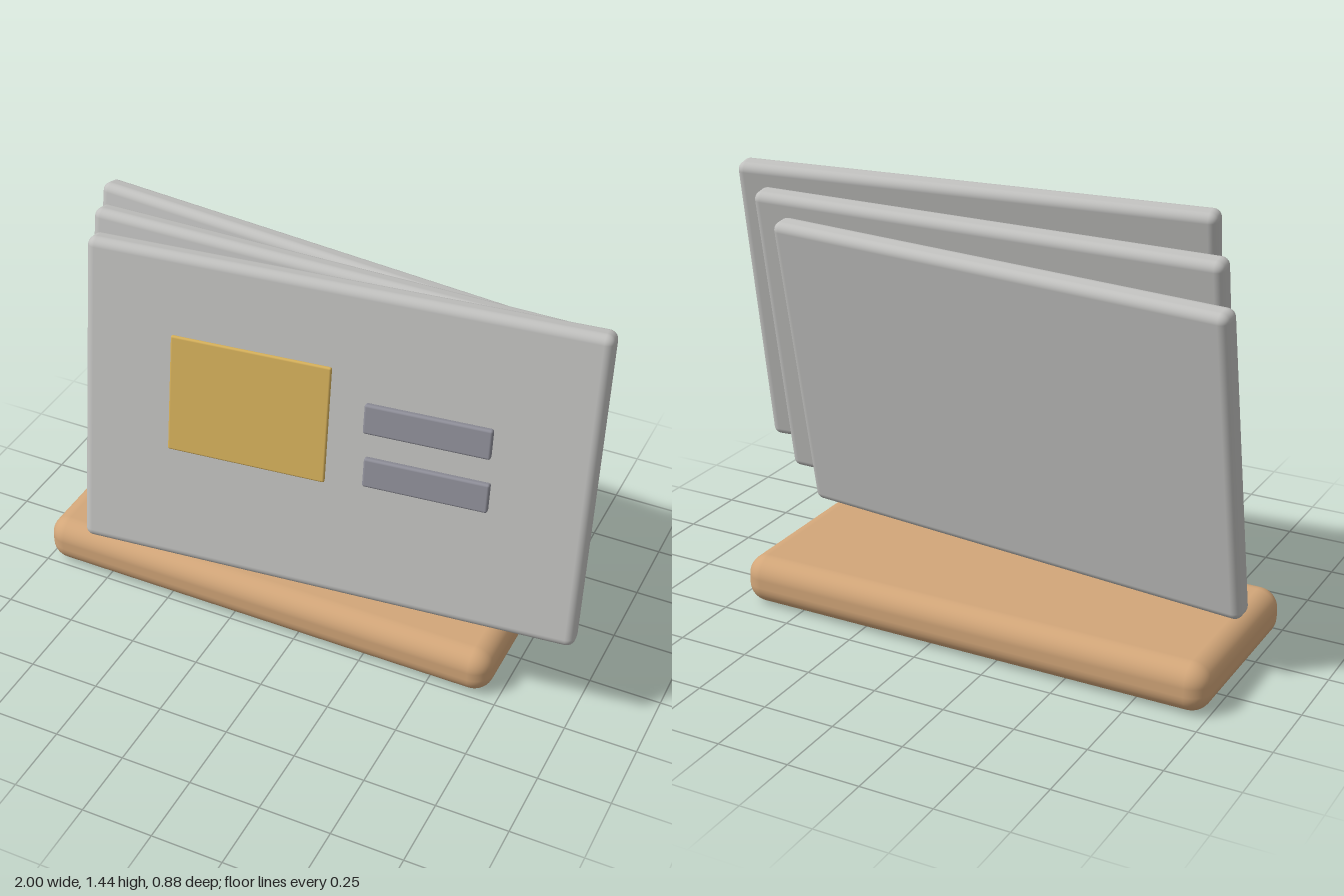
import * as THREE from 'three';
import { RoundedBoxGeometry } from 'three/addons/geometries/RoundedBoxGeometry.js';

const TILT = -0.175; // lean backwards
const YAW = 0.105; // fan angle between cards

function material(name, color) {
  const m = new THREE.MeshStandardMaterial({ color });
  m.name = name;
  return m;
}

export function createModel() {
  const model = new THREE.Group();
  model.name = 'cardsOnStand';

  const wood = material('tan wood', 0xd2a679);
  const silver = material('light grey', 0xc0c0be);
  const gold = material('gold', 0xd4af5a);
  const steel = material('steel grey', 0x8e8e98);

  function slab(name, size, radius, mat, position, tilt = 0, yaw = 0) {
    const mesh = new THREE.Mesh(new RoundedBoxGeometry(...size, 5, radius), mat);
    mesh.name = name;
    mesh.position.set(...position);
    mesh.rotation.set(tilt, yaw, 0, 'YXZ');
    model.add(mesh);
  }

  // Rounded base
  slab('base', [1.715, 0.17, 0.69], 0.07, wood, [-0.14, 0.085, -0.095]);

  // Three leaning cards, fanned from back to front
  ['backCard', 'middleCard', 'frontCard'].forEach((name, i) => {
    const k = i - 1;
    slab(name, [1.715, 1.096, 0.085], 0.03, silver,
      [0.138 * k, 0.827 + 0.068 * k, 0.046 + 0.172 * k], TILT, YAW * k);
  });

  // Chip on the front card
  slab('chip', [0.545, 0.409, 0.017], 0.007, gold, [-0.138, 0.967, 0.278], TILT, YAW);

  // Two raised bars beside the chip
  for (const [name, y] of [['upperBar', 1.069], ['lowerBar', 0.86]]) {
    slab(name, [0.412, 0.101, 0.024], 0.008, steel, [0.48, y, 0.267], TILT, YAW);
  }

  return model;
}
